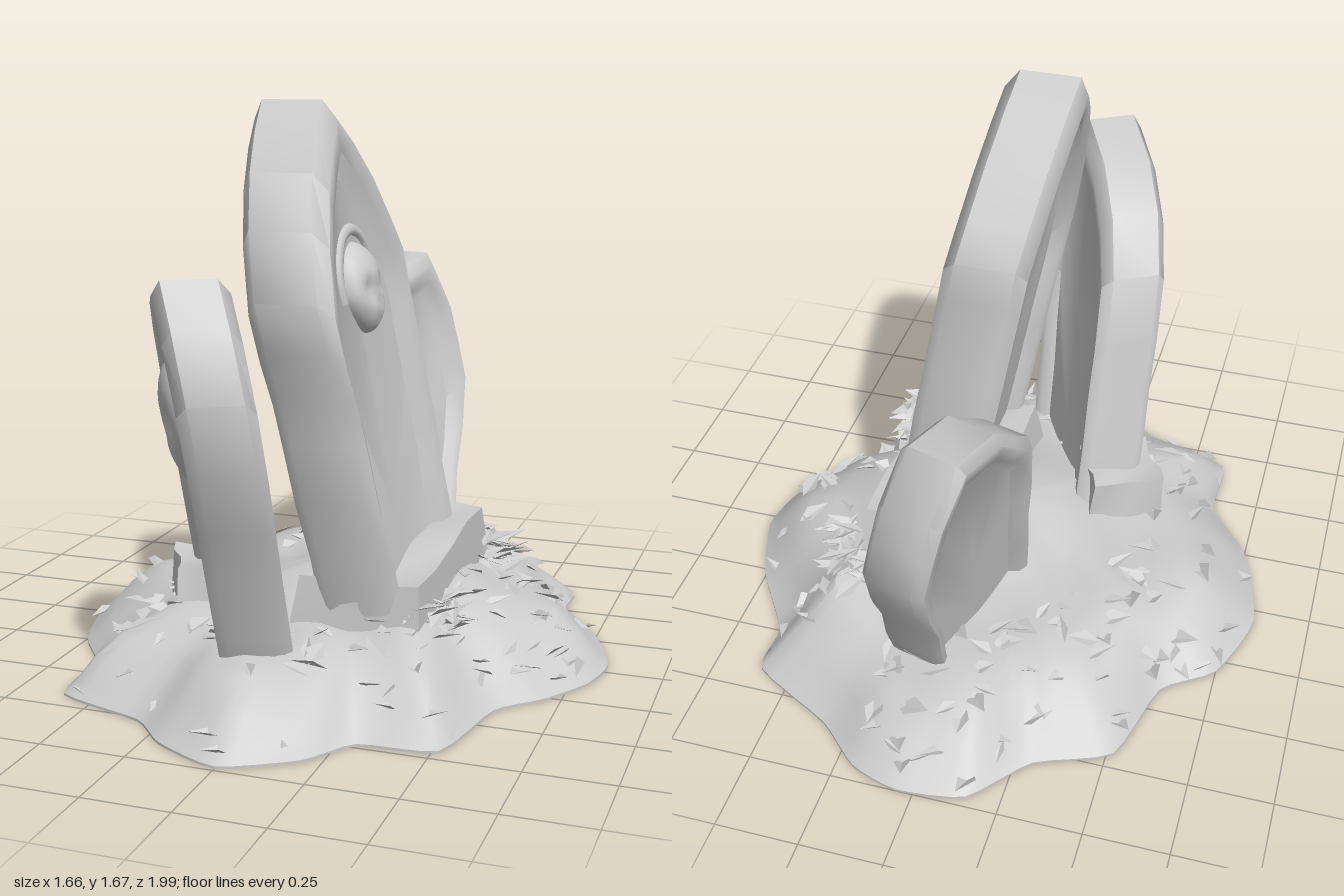
import * as THREE from 'three';
import { toCreasedNormals } from 'three/addons/utils/BufferGeometryUtils.js';

const V = (x, y, z) => new THREE.Vector3(x, y, z);
const grey = new THREE.MeshStandardMaterial({ color: 0xcccccc });
const greyThin = new THREE.MeshStandardMaterial({ color: 0xcccccc, side: THREE.DoubleSide });

let seed = 7;
const rand = () => {
  seed = (seed * 16807) % 2147483647;
  return seed / 2147483647;
};
const jitter = (r) => (rand() - 0.5) * 2 * r;

function mesh(name, geometry, material = grey) {
  const m = new THREE.Mesh(geometry, material);
  m.name = name;
  return m;
}

// Skin between closed loops that all have the same number of points
function loft(loops, crease) {
  const n = loops[0].length, index = [];
  for (let k = 0; k < loops.length - 1; k++) {
    for (let i = 0; i < n; i++) {
      const j = (i + 1) % n, a = k * n + i, b = k * n + j;
      index.push(a, b, b + n, a, b + n, a + n);
    }
  }
  const g = new THREE.BufferGeometry().setFromPoints(loops.flat());
  g.setIndex(index);
  return toCreasedNormals(g, crease);
}

// Slab with a rounded rim and a sunken panel on both faces, worn at the edges
function slabGeometry(outline, half) {
  const pts = [];
  outline.forEach((p, i) => {
    const q = outline[(i + 1) % outline.length];
    const steps = Math.max(1, Math.round(Math.hypot(q[0] - p[0], q[1] - p[1]) / 0.16));
    for (let k = 0; k < steps; k++) {
      const t = k / steps, w = k ? 0.012 : 0;
      pts.push([p[0] + (q[0] - p[0]) * t + jitter(w), p[1] + (q[1] - p[1]) * t + jitter(w)]);
    }
  });
  // [shrink, depth] from the back panel round the edge to the front panel
  const steps = [[0, -0.62], [0.72, -0.62], [0.8, -0.92], [0.92, -1], [1, -0.72],
    [1, 0.72], [0.92, 1], [0.8, 0.92], [0.72, 0.62], [0, 0.62]];
  return loft(steps.map(([s, c]) => pts.map(([a, b]) =>
    V(a * s, b * (s ? 1 - (1 - s) * 0.42 : 0.5), c * half))), 0.85);
}

// Skull relief: a rounded head with dented eyes and nose, narrowing to the jaw
function skullGeometry(w, h, d) {
  const g = new THREE.SphereGeometry(1, 28, 22);
  const p = g.attributes.position;
  const dents = [[-0.36, 0.02, 0.24, 0.4], [0.36, 0.02, 0.24, 0.4], [0, -0.3, 0.13, 0.25], [0, -0.62, 0.12, 0.15]];
  for (let i = 0; i < p.count; i++) {
    let x = p.getX(i), y = p.getY(i), z = p.getZ(i);
    if (z > 0) for (const [ex, ey, r, depth] of dents) {
      z -= depth * Math.exp(-((x - ex) ** 2 + (y - ey) ** 2) / (r * r));
    }
    if (y < -0.2) x *= 1 + (y + 0.2) * 0.35;
    p.setXYZ(i, x * w, y * h, z * d);
  }
  g.computeVertexNormals();
  return g;
}

// Leaning headstone: u runs across its face, v up its length, n out of its front
function headstone(name, { outline, half, base, u, v, skull, arch }) {
  const group = new THREE.Group();
  group.name = name;
  const n = V(-u.z, 0, u.x);
  const basis = new THREE.Matrix4().makeBasis(u, v, n).setPosition(base);
  const add = (part, g) => group.add(mesh(part, g.applyMatrix4(basis)));
  add('slab', slabGeometry(outline, half));
  if (skull) {
    const [a, b, w, h] = skull;
    add('skull', skullGeometry(w, h, 0.075).translate(a, b, half * 0.6));
    if (arch) {
      const ring = new THREE.TorusGeometry(arch, 0.02, 8, 28, Math.PI * 1.2);
      add('skullArch', ring.rotateZ(-0.31).translate(a, b + 0.02, half * 0.56));
    }
  }
  return group;
}

// Worn block: a box narrowed at the top with uneven corners
function block(name, w, h, d, taper) {
  const g = new THREE.BoxGeometry(w, h, d, 4, 2, 4);
  const p = g.attributes.position;
  for (let i = 0; i < p.count; i++) {
    const x = p.getX(i), y = p.getY(i), z = p.getZ(i);
    const k = 1 - taper * (y / h + 0.5);
    p.setXYZ(i, x * k + 0.01 * Math.sin(31 * z + 9 * y), y + 0.012 * Math.sin(17 * x + 11 * z),
      z * k + 0.01 * Math.sin(27 * x + 13 * y));
  }
  return mesh(name, toCreasedNormals(g, 0.8));
}

// Ground plan of the mound as (x, z)
const plan = [[0.05, -1], [0.2, -0.95], [0.34, -0.82], [0.6, -0.67], [0.61, -0.5], [0.75, -0.28],
  [0.83, -0.05], [0.8, 0.12], [0.7, 0.28], [0.59, 0.4], [0.52, 0.71], [0.3, 0.74], [0.2, 0.88],
  [0, 0.99], [-0.2, 0.9], [-0.32, 0.78], [-0.6, 0.68], [-0.61, 0.45], [-0.75, 0.25], [-0.83, -0.05],
  [-0.75, -0.3], [-0.6, -0.42], [-0.52, -0.7], [-0.3, -0.8], [-0.15, -0.97]];
const rim = new THREE.CatmullRomCurve3(plan.map(([x, z]) => V(x, 0, z)).reverse(), true, 'catmullrom', 0.3)
  .getPoints(100).slice(0, 100);
const profile = [[1, 0.015], [0.95, 0.05], [0.89, 0.1], [0.8, 0.15], [0.7, 0.185], [0.58, 0.2],
  [0.42, 0.215], [0.22, 0.23], [0, 0.24]];

// Soil heaped against the stones: x, z, x radius, z radius, height
const heaps = [[0.33, 0.04, 0.13, 0.3, 0.08], [0.02, 0.05, 0.15, 0.25, 0.06], [0.42, -0.38, 0.1, 0.1, 0.04]];

function moundPoint(p, s) {
  const k = Math.max(0, profile.findIndex(([r]) => r <= s) - 1);
  const [r0, h0] = profile[k], [r1, h1] = profile[k + 1];
  const x = p.x * s, z = p.z * s;
  const bump = 0.018 * Math.sin(9 * x + 2) * Math.cos(8 * z) + 0.012 * Math.sin(19 * x - 13 * z);
  const heap = heaps.reduce((sum, [hx, hz, rx, rz, h]) =>
    sum + h * Math.exp(-(((x - hx) / rx) ** 2) - ((z - hz) / rz) ** 2), 0);
  return V(x, h0 + (h1 - h0) * (s - r0) / (r1 - r0) + (bump + heap) * Math.min(1, (1 - s) * 6), z);
}

function mound() {
  const bottom = [0, 1].map((s) => rim.map((p) => V(p.x * s, 0.008, p.z * s)));
  const top = [...profile.map(([s]) => s), 0.5, 0.32, 0.12].sort((a, b) => b - a)
    .map((s) => rim.map((p) => moundPoint(p, s)));
  return mesh('mound', loft([...bottom, ...top], 0.7));
}

// Loose leaves and splinters on the soil, thicker beside the tall stone
function litter() {
  const pts = [];
  for (let i = 0; i < 250; i++) {
    const pile = i < 60;
    let c = moundPoint(rim[Math.floor(rand() * rim.length)], 0.48 + 0.5 * rand());
    if (pile) c = V(0.41 + jitter(0.07), 0.25 + jitter(0.05), (i % 2 ? 0.36 : -0.34) + jitter(0.1));
    const turn = rand() * Math.PI * 2, len = 0.035 + 0.04 * rand(), wide = 0.015 + 0.016 * rand();
    const along = V(Math.cos(turn), 0.1 + 0.4 * rand(), Math.sin(turn)).multiplyScalar(len);
    const side = V(-Math.sin(turn), jitter(0.4), Math.cos(turn)).multiplyScalar(wide);
    const tail = c.clone().addScaledVector(along, -0.6).setY(c.y - 0.01);
    const tip = c.clone().add(along);
    const l = c.clone().add(side).add(V(0, 0.012, 0)), r = c.clone().sub(side).add(V(0, 0.012, 0));
    pts.push(tail, l, tip, tail, tip, r);
  }
  const g = new THREE.BufferGeometry().setFromPoints(pts);
  g.computeVertexNormals();
  return mesh('leafLitter', g, greyThin);
}

export function createModel() {
  seed = 7;
  const model = new THREE.Group();
  model.name = 'graveyardMound';
  model.add(mound(), litter());

  model.add(headstone('tallHeadstone', {
    outline: [[-0.18, 0.1], [0.45, 0.1], [0.39, 0.9], [0.37, 1.15], [0.365, 1.27], [0.29, 1.37], [0.18, 1.5],
      [0.05, 1.61], [-0.06, 1.68], [-0.15, 1.6], [-0.24, 1.49], [-0.32, 1.34], [-0.37, 1.15], [-0.29, 0.75]],
    half: 0.125, base: V(0.25, 0, 0.2), u: V(0, 0, -1), v: V(-0.18, 1, 0), skull: [0.01, 1.15, 0.11, 0.13], arch: 0.145,
  }));
  model.add(headstone('frontHeadstone', {
    outline: [[-0.32, 0.1], [0.25, 0.1], [0.34, 0.76], [0.32, 0.95], [0.22, 1.13], [0.09, 1.25],
      [-0.11, 1.2], [-0.25, 1.1], [-0.33, 0.95], [-0.34, 0.75]],
    half: 0.103, base: V(-0.135, 0, 0.37), u: V(0.48, 0, 0.87), v: V(-0.015, 1, 0.32), skull: [0, 0.84, 0.12, 0.19],
  }));
  model.add(headstone('backHeadstone', {
    outline: [[-0.24, 0.1], [0.22, 0.1], [0.31, 0.72], [0.2, 0.97], [0.07, 1.13], [-0.11, 1.1],
      [-0.28, 0.92], [-0.28, 0.72]],
    half: 0.1, base: V(0.06, 0, -0.35), u: V(0.28, 0, -0.97), v: V(-0.1, 1, -0.36),
  }));

  // Footings under the tall and front stones
  const tallFooting = block('tallFooting', 0.4, 0.24, 0.8, 0.12);
  tallFooting.position.set(0.19, 0.255, 0.05);
  tallFooting.rotation.x = 0.09;
  const frontFooting = block('frontFooting', 0.26, 0.2, 0.26, 0.12);
  frontFooting.position.set(-0.31, 0.23, 0.24);
  frontFooting.rotation.y = 0.5;
  model.add(tallFooting, frontFooting);
  return model;
}
